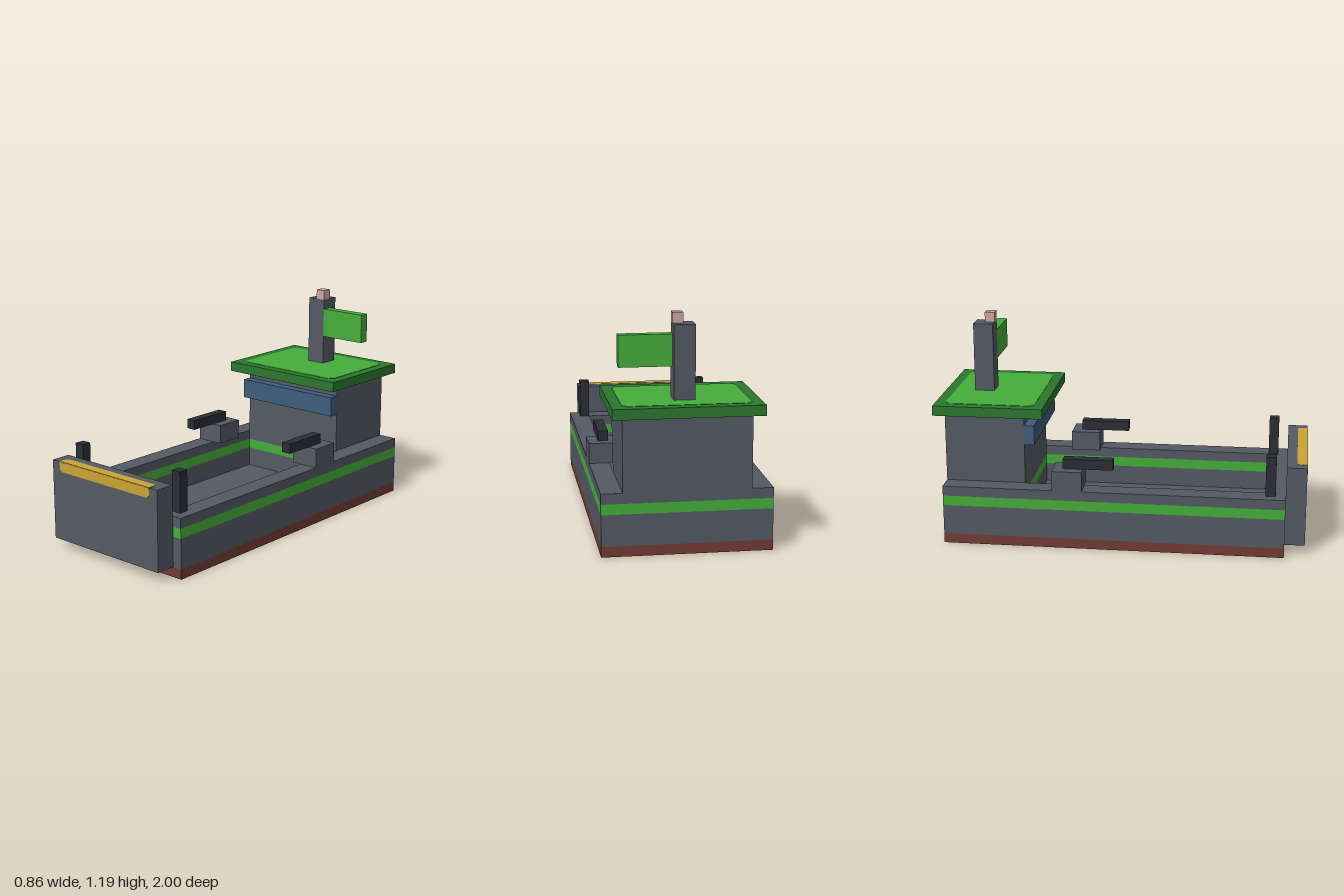
import * as THREE from 'three';

const U = 2 / 37; // one block; all sizes below are in blocks

const paint = (name, color) => {
  const m = new THREE.MeshStandardMaterial({ color });
  m.name = name;
  return m;
};

export function createModel() {
  const grey = paint('hull grey', 0x545a64);
  const green = paint('bright green', 0x45ae3a);
  const darkGreen = paint('dark green', 0x2b772e);
  const red = paint('keel red', 0x723b33);
  const black = paint('gun black', 0x2c2d36);
  const blue = paint('window blue', 0x3f5d7e);
  const yellow = paint('warning yellow', 0xcaa434);
  const pink = paint('lamp pink', 0xcfa6a4);

  const model = new THREE.Group();
  model.name = 'landingBoat';

  const add = (name, geometry, material) => {
    const mesh = new THREE.Mesh(geometry, material);
    mesh.name = name;
    model.add(mesh);
    return mesh;
  };

  // Box between two corners
  const box = (name, material, [x0, x1], [y0, y1], [z0, z1]) => {
    const g = new THREE.BoxGeometry((x1 - x0) * U, (y1 - y0) * U, (z1 - z0) * U);
    g.translate((x0 + x1) / 2 * U, (y0 + y1) / 2 * U, (z0 + z1) / 2 * U);
    return add(name, g, material);
  };

  const outline = (target, pts) => {
    pts.forEach(([x, y], i) => (i ? target.lineTo(x * U, y * U) : target.moveTo(x * U, y * U)));
    target.closePath();
    return target;
  };
  const rect = (x, a, b) => [[-x, a], [x, a], [x, b], [-x, b]];

  // Hull layer around the open well (shape y becomes -z)
  const hullRing = (name, material, y0, y1) => {
    const shape = outline(new THREE.Shape(), rect(8, -16.5, 17.5));
    shape.holes.push(outline(new THREE.Path(), rect(6, -14.5, 9.5)));
    const g = new THREE.ExtrudeGeometry(shape, { depth: (y1 - y0) * U, bevelEnabled: false });
    g.rotateX(-Math.PI / 2).translate(0, y0 * U, 0);
    return add(name, g, material);
  };

  // Thin painted plate with clipped corners
  const plate = (name, material, x, a, b, clipLow, clipHigh) => {
    const pts = [
      [-x + clipLow, a], [x - clipLow, a], [x, a + clipLow],
      [x, b - clipHigh], [x - clipHigh, b], [-x + clipHigh, b],
      [-x, b - clipHigh], [-x, a + clipLow],
    ];
    const unique = pts.filter((p, i) => {
      const q = pts[(i + 1) % pts.length];
      return p[0] !== q[0] || p[1] !== q[1];
    });
    const g = new THREE.ExtrudeGeometry(outline(new THREE.Shape(), unique), { depth: 0.002, bevelEnabled: false });
    return add(name, g, material);
  };

  // Hull, from the keel up
  box('keel', red, [-8, 8], [0, 1], [-17.5, 16.5]);
  box('wellFloor', grey, [-8, 8], [1, 2], [-17.5, 16.5]);
  hullRing('lowerHull', grey, 2, 4);
  hullRing('hullStripe', green, 4, 5);
  hullRing('upperHull', grey, 5, 6);

  // Bow ramp with its painted top edge
  box('bowRamp', grey, [-7, 7], [1, 9], [16.5, 18.5]);
  plate('rampFrontPaint', yellow, 6, 8, 9, 0.25, 0).position.z = 18.5 * U;
  const rampTop = plate('rampTopPaint', yellow, 6, -18.5, -17.5, 0, 0.25);
  rampTop.rotation.x = -Math.PI / 2;
  rampTop.position.y = 9 * U;

  // Cabin, window band and roof
  box('cabin', grey, [-6, 6], [6, 13], [-17.5, -9.5]);
  box('cabinWindow', blue, [-6, 6], [10, 12], [-9.5, -8.5]);
  box('roof', darkGreen, [-7, 7], [13, 14], [-18.5, -7.5]);
  const roofPanel = plate('roofPanel', green, 6, 8.5, 17.5, 0.5, 0.5);
  roofPanel.rotation.x = -Math.PI / 2;
  roofPanel.position.y = 14 * U;

  // Mast, lamp and flag
  box('mast', grey, [-1, 1], [14, 21], [-15.5, -13.5]);
  box('mastLamp', pink, [0, 1], [21, 22], [-14.5, -13.5]);
  box('flag', green, [1, 6], [17, 20], [-14.5, -13.5]);

  // Guns and bow posts on both sides
  for (const [side, s] of [['left', 1], ['right', -1]]) {
    const span = (a, b) => (s > 0 ? [a, b] : [-b, -a]);
    box(side + 'GunMount', grey, span(5, 8), [6, 8], [-6.5, -3.5]);
    box(side + 'Gun', black, span(6, 7), [8, 9], [-5.5, -0.5]);
    box(side + 'BowPost', black, span(6, 7), [6, 10], [14.5, 15.5]);
  }
  return model;
}
